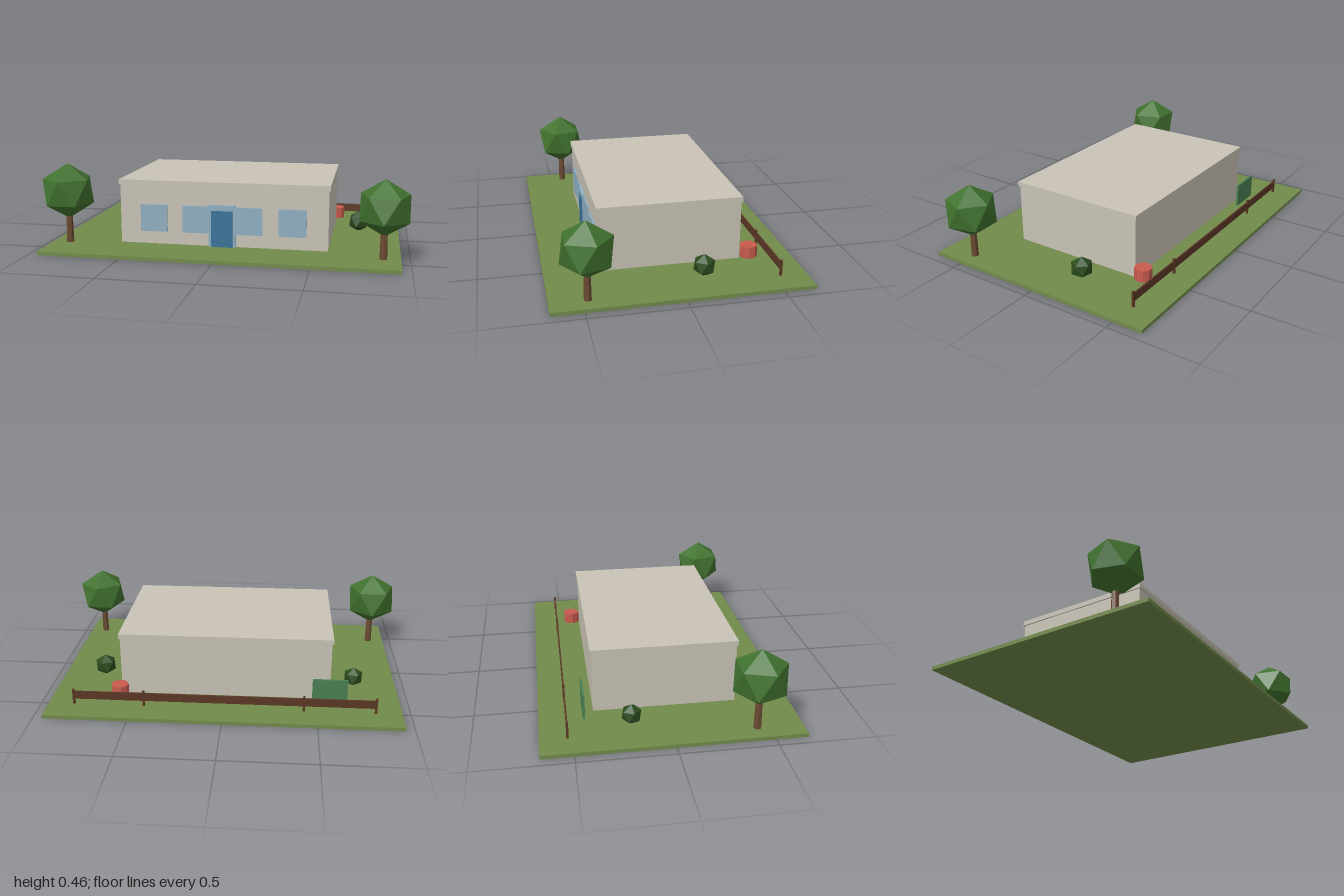
import * as THREE from 'three';

export function createModel() {
  const root = new THREE.Group();
  root.name = 'buildingWithYard';

  const mat = (name, color) => {
    const m = new THREE.MeshStandardMaterial({ color, flatShading: true });
    m.name = name;
    return m;
  };
  const grass = mat('grass', 0x728b4b);
  const plaster = mat('plaster', 0xc9c3b6);
  const glass = mat('glass', 0x8fafc1);
  const doorBlue = mat('doorBlue', 0x3a7299);
  const leaf = mat('leaf', 0x41722f);
  const darkLeaf = mat('darkLeaf', 0x2b4d1e);
  const bark = mat('bark', 0x6b4a31);
  const wood = mat('fenceWood', 0x5c3826);
  const red = mat('red', 0xc85b4e);
  const signGreen = mat('signGreen', 0x4a8053);

  const add = (name, geometry, material, x, y, z, parent = root) => {
    const mesh = new THREE.Mesh(geometry, material);
    mesh.name = name;
    mesh.position.set(x, y, z);
    parent.add(mesh);
    return mesh;
  };
  // Box given by its limits on each axis
  const box = (name, material, [x0, x1], [y0, y1], [z0, z1], parent) =>
    add(name, new THREE.BoxGeometry(x1 - x0, y1 - y0, z1 - z0), material,
      (x0 + x1) / 2, (y0 + y1) / 2, (z0 + z1) / 2, parent);
  // Icosahedron standing on one of its corners
  const crown = (r, yaw) =>
    new THREE.IcosahedronGeometry(r, 0).rotateZ(Math.atan(2 / (1 + Math.sqrt(5)))).rotateY(yaw);

  // Ground and building
  box('lawn', grass, [-0.95, 0.95], [0, 0.02], [-0.667, 0.667]);
  box('walls', plaster, [-0.573, 0.573], [0.02, 0.35], [-0.381, 0.381]);
  box('roof', plaster, [-0.58, 0.58], [0.347, 0.374], [-0.388, 0.388]);

  // Front windows
  for (const side of [-1, 1]) {
    for (const x of [0.145, 0.382]) {
      box('window', glass, [side * x - 0.075, side * x + 0.075], [0.09, 0.24], [0.381, 0.39]);
    }
  }

  // Entrance
  box('doorFrame', glass, [-0.075, 0.075], [0.02, 0.25], [0.38, 0.398]);
  box('door', doorBlue, [-0.058, 0.058], [0.02, 0.22], [0.397, 0.402]);

  // Trees: x, z, crown height, crown radius
  for (const [x, z, y, r, yaw] of [[-0.858, 0.427, 0.308, 0.153, 0.3], [0.86, 0.475, 0.288, 0.148, 0.9]]) {
    const tree = new THREE.Group();
    tree.name = 'tree';
    root.add(tree);
    add('trunk', new THREE.CylinderGeometry(0.017, 0.02, 0.2, 7), bark, x, 0.12, z, tree);
    add('treeCrown', crown(r, yaw), leaf, x, y, z, tree);
  }

  // Bushes
  add('bush', crown(0.056, 0.2), darkLeaf, -0.713, 0.068, -0.195);
  add('bush', crown(0.062, 0.7), darkLeaf, 0.718, 0.073, -0.145);

  // Back fence
  box('fenceRail', wood, [-0.815, 0.815], [0.05, 0.095], [-0.53, -0.522]);
  for (const x of [-0.81, -0.43, 0.43, 0.81]) {
    box('fencePost', wood, [x - 0.006, x + 0.006], [0.02, 0.107], [-0.532, -0.52]);
  }

  // Yard items
  box('greenPanel', signGreen, [-0.663, -0.475], [0.03, 0.163], [-0.44, -0.428]);
  add('barrel', new THREE.CylinderGeometry(0.047, 0.047, 0.065, 9), red, 0.575, 0.064, -0.43);

  return root;
}
